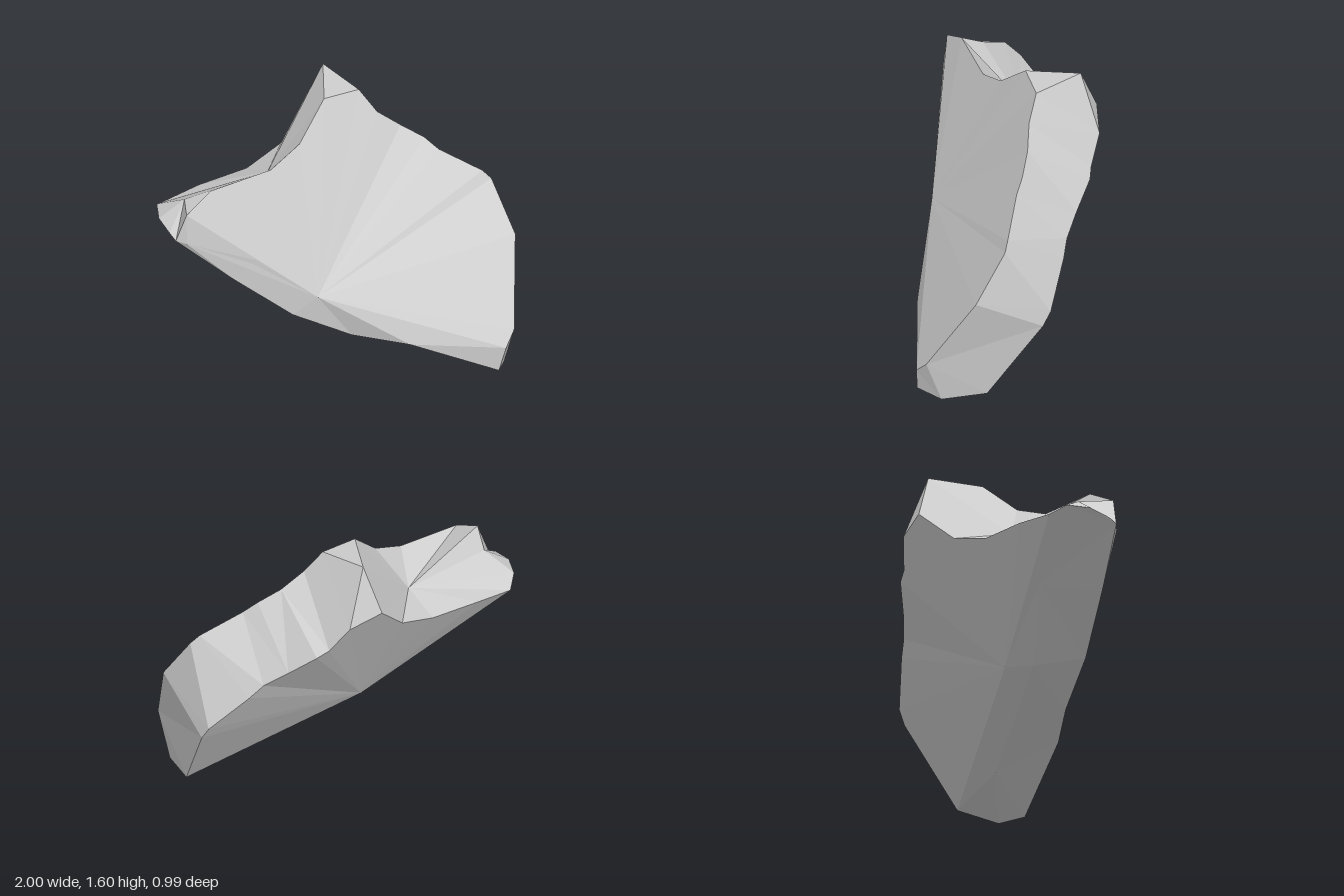
import * as THREE from 'three';

// Outline of the broad front face, clockwise from its left end
const F = [
  [-0.86, 1.2, 0.45], [-0.72, 1.29, 0.355], [-0.37, 1.305, 0.2], [-0.2, 1.39, 0.085], [-0.05, 1.58, -0.07],
  [0.15, 1.575, -0.15], [0.25, 1.44, -0.12], [0.38, 1.34, -0.125], [0.51, 1.26, -0.11], [0.59, 1.19, -0.085],
  [0.83, 1.05, -0.06], [0.88, 1.0, -0.05], [1.0, 0.72, 0.1], [0.97, 0.27, 0.38], [0.92, 0.19, 0.44],
  [0.38, 0.28, 0.49], [-0.13, 0.61, 0.46], [-0.47, 0.88, 0.46], [-0.86, 1.02, 0.47],
];
// Outline of the back face, from the pointed end over the top to the foot
const B = [
  [-0.96, 1.02, 0.05], [-0.75, 1.045, -0.06], [-0.47, 1.06, -0.18], [-0.27, 1.135, -0.3], [-0.12, 1.33, -0.46],
  [0.07, 1.27, -0.495], [0.18, 1.12, -0.46], [0.25, 1.08, -0.46], [0.4, 0.96, -0.4], [0.53, 0.87, -0.36],
  [0.61, 0.79, -0.35], [0.83, 0.58, -0.3], [0.86, 0.5, -0.26], [0.88, 0.03, 0.05],
];
// Pointed end, from back to front
const P = [[-1, 1.07, 0.14], [-1, 1.07, 0.28], [-0.95, 1.05, 0.4], [-0.92, 1.03, 0.45]];
// Lower front edge and underside ridge
const G = [[-0.6, 0.76, 0.46], [-0.27, 0.5, 0.46], [0.06, 0.33, 0.44], [0.88, 0.04, 0.44]];
const K = [[-0.6, 0.76, 0.1], [-0.22, 0.44, 0.17], [0.52, 0.12, 0.17], [0.92, 0, 0.3]];
// Single corners: summit, shoulder, end notch, low back corner
const summit = [-0.03, 1.6, -0.38];
const shoulder = [-0.37, 1.155, 0];
const notch = [-0.855, 1.17, 0.25];
const lowBack = [-0.11, 0.46, 0.04];

// Triangles around one corner
function fan(apex, ring) {
  return ring.slice(1).flatMap((p, i) => [apex, ring[i], p]);
}

// Strip between two chains, always taking the shorter diagonal
function bridge(a, b) {
  const dist = (p, q) => Math.hypot(p[0] - q[0], p[1] - q[1], p[2] - q[2]);
  const out = [];
  let i = 0, j = 0;
  while (i < a.length - 1 || j < b.length - 1) {
    const stepA = j === b.length - 1 ||
      (i < a.length - 1 && dist(a[i + 1], b[j]) <= dist(a[i], b[j + 1]));
    if (stepA) out.push(a[i], a[++i], b[j]);
    else out.push(a[i], b[j + 1], b[j++]);
  }
  return out;
}

export function createModel() {
  const corners = [
    // front and back faces
    ...fan(F[16], [...F.slice(0, 16).reverse(), F[18], F[17]]),
    ...fan(lowBack, B),
    // top left slope, summit and right edge
    ...fan(shoulder, [F[2], F[3], F[4], summit, B[4], B[3], B[2], B[1], B[0], P[0], notch, F[0], F[1], F[2]]),
    ...fan(summit, [F[4], F[5], B[5], B[4]]),
    ...bridge([...F.slice(5, 14), K[3]], B.slice(5)),
    ...fan(K[3], [F[13], F[14], G[3]]),
    // pointed end
    ...fan(notch, [...P, F[0]]),
    F[0], P[3], F[18],
    // lower front bevel
    ...bridge([P[3], G[0], G[1], G[2]], [F[18], F[17], F[16], F[15]]),
    F[15], G[3], F[14],
    // underside
    ...bridge([P[1], P[0], ...K], [P[2], P[3], G[0], G[1], G[2], F[15], G[3]]),
    ...bridge([B[0], lowBack, B[13]], [P[0], ...K]),
  ];

  const geometry = new THREE.BufferGeometry();
  geometry.setAttribute('position', new THREE.Float32BufferAttribute(corners.flat(), 3));
  geometry.computeVertexNormals();

  const rock = new THREE.Mesh(geometry, new THREE.MeshStandardMaterial({ color: 0xcccccc, flatShading: true }));
  rock.name = 'rock';
  const group = new THREE.Group();
  group.name = 'rockShard';
  group.add(rock);
  return group;
}
